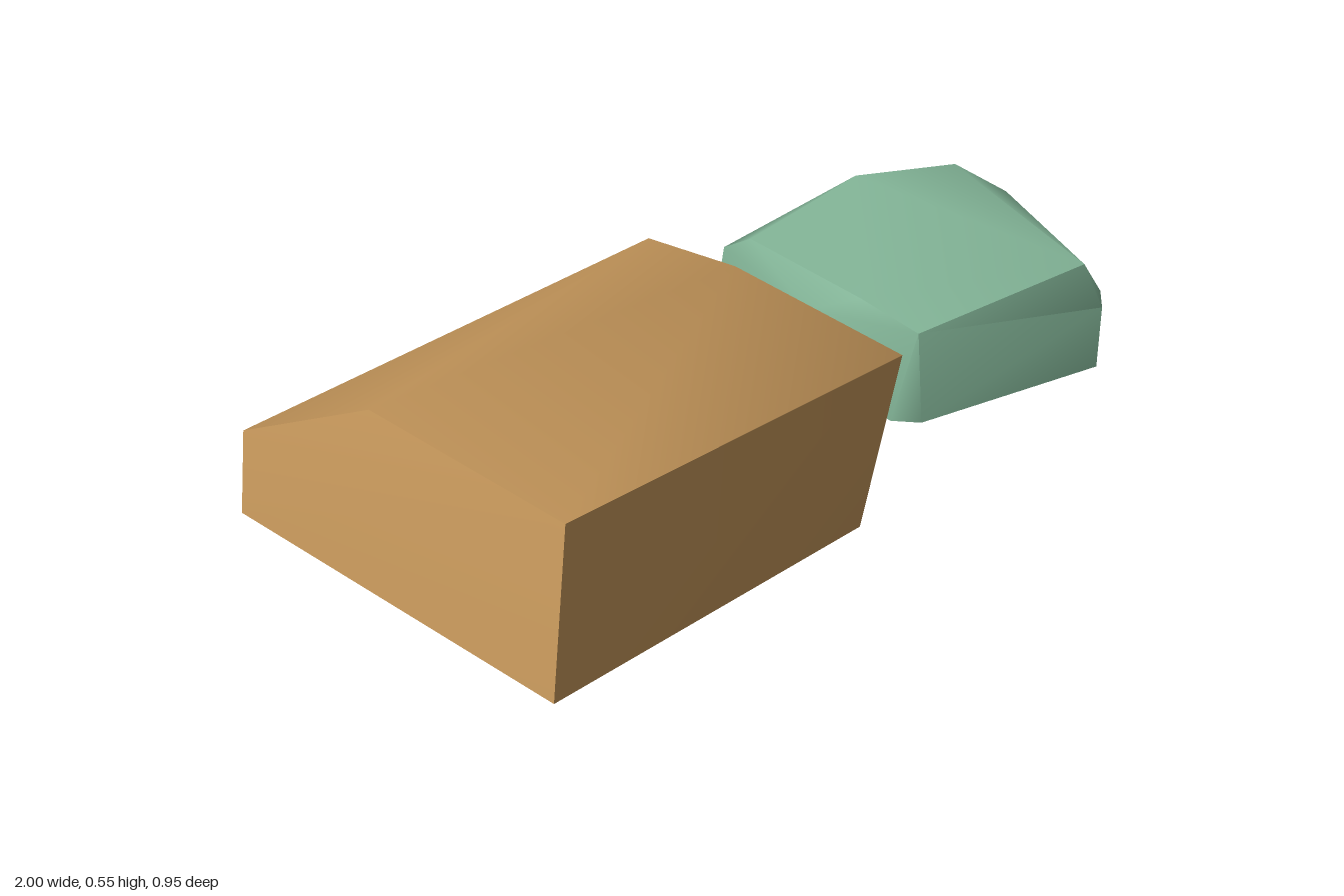
import * as THREE from 'three';
import { toCreasedNormals } from 'three/addons/utils/BufferGeometryUtils.js';
import { ConvexGeometry } from 'three/addons/geometries/ConvexGeometry.js';

// A stone is the hull of its corners, with soft shading across shallow edges
function stone(name, corners, material, crease) {
  const hull = new ConvexGeometry(corners.map((c) => new THREE.Vector3(...c)));
  const mesh = new THREE.Mesh(toCreasedNormals(hull, crease), material);
  mesh.name = name;
  return mesh;
}

export function createModel() {
  const sandstone = new THREE.MeshStandardMaterial({ color: 0xc8995c });
  sandstone.name = 'sandstone';
  const greenStone = new THREE.MeshStandardMaterial({ color: 0x86b99b });
  greenStone.name = 'green stone';

  // Long leaning slab
  const slab = stone('longStone', [
    // raised end
    [-0.86, 0.54, 0.472], [-0.91, 0.165, 0.475], [-1, 0.175, -0.37],
    [-0.97, 0.36, -0.37], [-0.9, 0.545, -0.03],
    // lower end, top edge
    [0.12, 0.38, 0.365], [0.12, 0.38, -0.12], [0.095, 0.355, -0.37],
    // lower end, middle
    [0.175, 0.3, 0.27], [0.145, 0.3, -0.2], [0.02, 0.24, -0.477],
    // lower end, bottom edge
    [0.02, 0.008, -0.475], [0.065, 0, 0.29], [0, 0.012, 0.375],
  ], sandstone, 0.85);

  // Small rounded stone
  const small = stone('smallStone', [
    // underside
    [0.84, 0.004, 0.34], [1, 0.06, -0.09], [0.77, 0.1, -0.235],
    [0.27, 0.165, -0.332], [0.2, 0.13, 0], [0.25, 0.085, 0.23], [0.3, 0.078, 0.275],
    // sides
    [1, 0.235, -0.085], [0.77, 0.25, -0.237], [0.27, 0.285, -0.31],
    [0.22, 0.28, 0], [0.82, 0.18, 0.352], [0.86, 0.19, 0.315],
    // top
    [0.265, 0.347, -0.22], [0.62, 0.366, -0.232], [0.88, 0.33, -0.15],
    [0.26, 0.345, 0.12], [0.28, 0.315, 0.27], [0.79, 0.29, 0.313],
  ], greenStone, 0.85);

  const group = new THREE.Group();
  group.name = 'stones';
  group.add(slab, small);
  return group;
}
